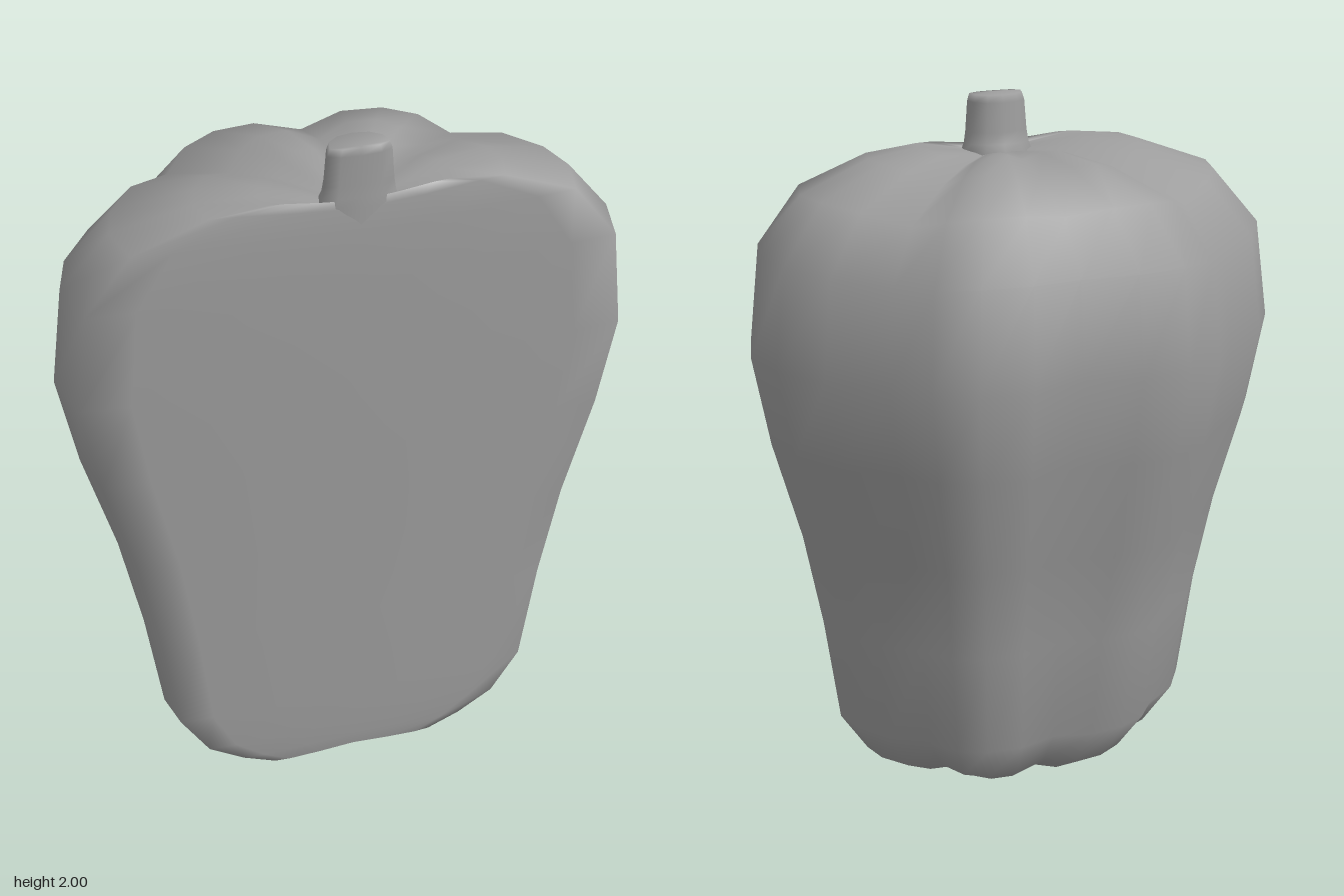
import * as THREE from 'three';

const material = new THREE.MeshStandardMaterial({ color: 0x9d9d9d });
const FRONT = 0.33; // z of the cut plane, about which the sections shrink

// Half outline, front middle to back middle: [x, z, groove depth]
const bodyHalf = [
  [0, 0.352, 0.5], [0.3, 0.35, 0.25], [0.58, 0.337, 0], [0.71, 0.326, 0], [0.745, 0.18, 0],
  [0.71, 0.05, 0], [0.62, -0.09, 0.25], [0.48, -0.19, 1], [0.4, -0.29, 0.35], [0.29, -0.34, 0],
  [0.15, -0.355, 0], [0, -0.315, 0.55],
];
// Sections from bottom to top: [y, x scale, z scale, groove shift]
const bodyRings = [
  [0.045, 0, 0, 0], [0.02, 0.12, 0.13, 0.01], [0.005, 0.33, 0.29, 0.03], [0.045, 0.46, 0.43, 0.03],
  [0.11, 0.6, 0.57, 0.02], [0.24, 0.71, 0.69, 0], [0.55, 0.765, 0.745, 0], [0.83, 0.835, 0.835, 0],
  [1.12, 0.94, 0.94, 0], [1.37, 1, 1, 0], [1.64, 0.953, 0.96, -0.015], [1.79, 0.785, 0.8, -0.035],
  [1.86, 0.52, 0.53, -0.045], [1.875, 0.32, 0.34, -0.035], [1.853, 0.14, 0.15, -0.01], [1.83, 0, 0, 0],
];

// Half-round stalk: its foot runs flush into the cut face
const stemHalf = [
  [0, 0.342, 0], [0.05, 0.339, 0], [0.08, 0.325, 0], [0.072, 0.288, 0], [0.043, 0.264, 0], [0, 0.256, 0],
];
const stemRings = [
  [1.7, 1.3, 1.5, 0], [1.84, 1.28, 1.2, 0], [1.868, 1.14, 1.08, 0], [1.9, 1.08, 1, 0],
  [1.98, 1.0, 0.96, 0], [2.0, 0.92, 0.88, 0], [2.0, 0, 0, 0],
];

// Skin a mirrored outline through a stack of scaled sections
function loft(half, rings) {
  const mirrored = half.slice(1, -1).reverse().map(([x, z, g]) => [-x, z, g]);
  const outline = [...half, ...mirrored];
  const n = outline.length;
  const positions = [];
  const index = [];
  rings.forEach(([y, sx, sz, shift], i) => {
    outline.forEach(([x, z, groove], j) => {
      positions.push(x * sx, y + groove * shift, FRONT + (z - FRONT) * sz);
      if (i === rings.length - 1) return;
      const a = i * n + j;
      const b = i * n + ((j + 1) % n);
      index.push(a, b, b + n, a, b + n, a + n);
    });
  });
  const geometry = new THREE.BufferGeometry();
  geometry.setAttribute('position', new THREE.Float32BufferAttribute(positions, 3));
  geometry.setIndex(index);
  geometry.computeVertexNormals();
  return geometry;
}

function part(name, half, rings) {
  const mesh = new THREE.Mesh(loft(half, rings), material);
  mesh.name = name;
  return mesh;
}

export function createModel() {
  const model = new THREE.Group();
  model.name = 'halvedPepper';
  // Lobed half fruit with a nearly flat cut face, and its stalk
  model.add(part('fruitBody', bodyHalf, bodyRings));
  model.add(part('stem', stemHalf, stemRings));
  return model;
}
